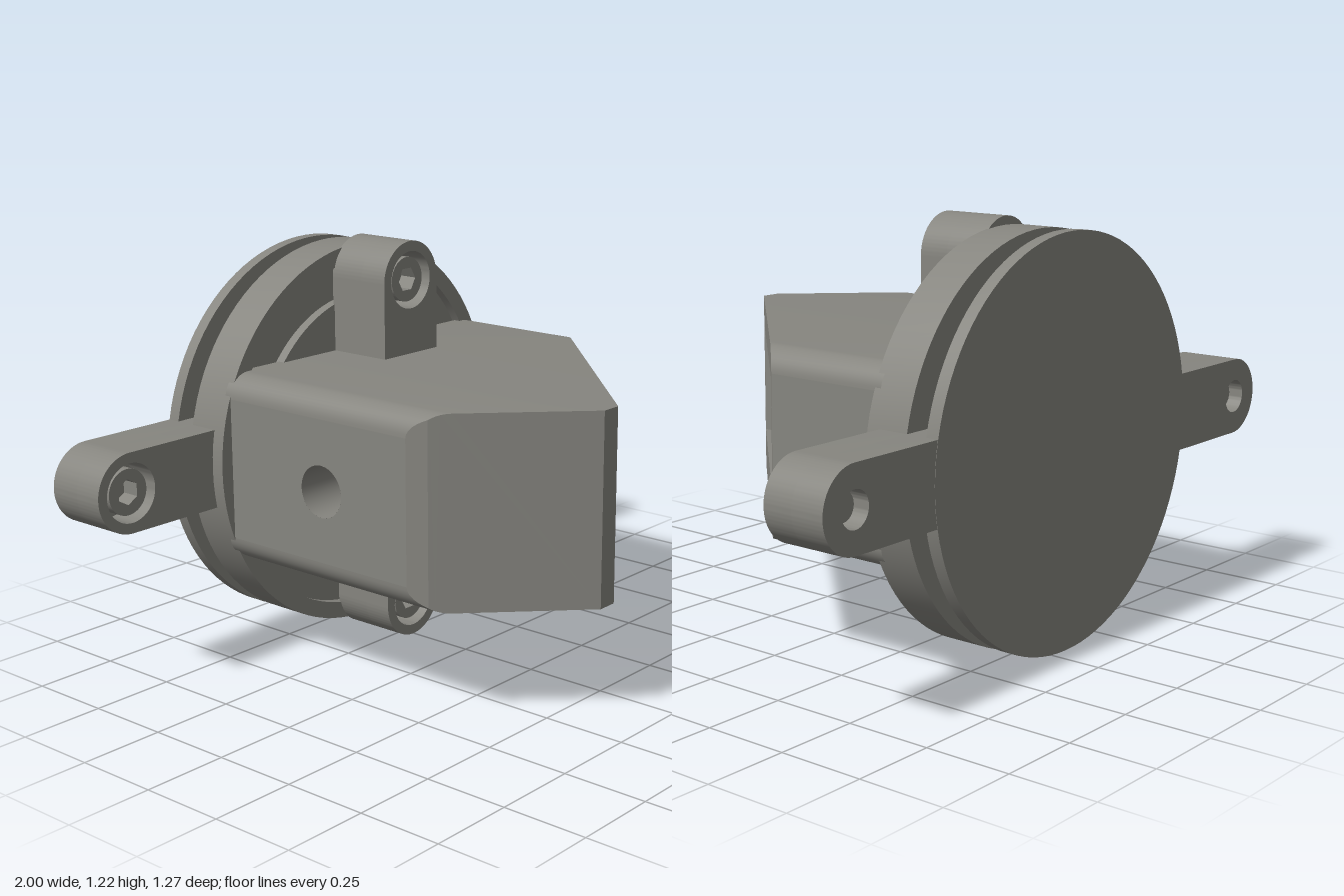
import * as THREE from 'three';
import { toCreasedNormals } from 'three/addons/utils/BufferGeometryUtils.js';

const grey = new THREE.MeshStandardMaterial({ color: 0x86857f, side: THREE.DoubleSide });
grey.name = 'warm grey';

const V2 = (p) => new THREE.Vector2(p[0], p[1]);

function add(parent, name, geometry) {
  const mesh = new THREE.Mesh(toCreasedNormals(geometry, 0.6), grey);
  mesh.name = name;
  parent.add(mesh);
  return mesh;
}

// Flat panel drawn in (u, v), then placed in space by a rule
function panel(points, place, hole) {
  const shape = new THREE.Shape(points.map(V2));
  if (hole) shape.holes.push(hole);
  const g = new THREE.ShapeGeometry(shape, 24);
  const p = g.attributes.position;
  for (let i = 0; i < p.count; i++) p.setXYZ(i, ...place(p.getX(i), p.getY(i)));
  g.computeVertexNormals();
  return g;
}

const rect = (u0, v0, u1, v1) => [[u0, v0], [u1, v0], [u1, v1], [u0, v1]];
const ellipse = (x, y, rx, ry) => new THREE.Path().absellipse(x, y, rx, ry, 0, Math.PI * 2, true);

// Turned part with its axis along z; profile points are (radius, z)
function turned(profile) {
  return new THREE.LatheGeometry(profile.map(V2), 96).rotateX(Math.PI / 2);
}

function extrude(shape, z0, z1) {
  return new THREE.ExtrudeGeometry(shape, { depth: z1 - z0, bevelEnabled: false, curveSegments: 32 }).translate(0, 0, z0);
}

// Body plan: sloped front cut into a rounded bar
const W = 0.545, H = 0.275, R = 0.07, BACK = -0.43;
const corners = [[-W, 0.25], [-0.52, 0.305], [-0.195, 0.635], [-0.135, 0.635], [W, -0.045]];
function frontZ(x) {
  for (let i = 0; i < 4; i++) {
    const [x0, z0] = corners[i], [x1, z1] = corners[i + 1];
    if (x <= x1 || i === 3) return z0 + (z1 - z0) * (x - x0) / (x1 - x0);
  }
}
function halfHeight(x) {
  const d = Math.min(Math.abs(x) - (W - R), R);
  return d > 0 ? H - R + Math.sqrt(R * R - d * d) : H;
}

function buildBody() {
  const body = new THREE.Group();
  body.name = 'body';
  let xs = corners.map((c) => c[0]);
  for (let i = 1; i <= 10; i++) {
    const x = W - R + R * Math.cos((i / 10) * Math.PI / 2);
    xs.push(x, -x);
  }
  xs.sort((a, b) => a - b);

  // Top and bottom skins, including the rounded edges
  for (const s of [1, -1]) {
    const pos = [], idx = [];
    xs.forEach((x, i) => {
      const y = s * halfHeight(x);
      pos.push(x, y, BACK, x, y, frontZ(x));
      const a = 2 * i;
      if (i < xs.length - 1) {
        if (s > 0) idx.push(a, a + 1, a + 3, a, a + 3, a + 2);
        else idx.push(a, a + 3, a + 1, a, a + 2, a + 3);
      }
    });
    const g = new THREE.BufferGeometry();
    g.setAttribute('position', new THREE.Float32BufferAttribute(pos, 3));
    g.setIndex(idx);
    g.computeVertexNormals();
    add(body, s > 0 ? 'bodyTop' : 'bodyBottom', g);
  }

  // Front facets; the long slope holds the window opening
  for (let i = 0; i < 4; i++) {
    const part = xs.filter((x) => x >= corners[i][0] - 1e-6 && x <= corners[i + 1][0] + 1e-6);
    const outline = [...part.map((x) => [x, -halfHeight(x)]), ...part.slice().reverse().map((x) => [x, halfHeight(x)])];
    const hole = i === 3 ? new THREE.Path(rect(-0.11, -0.15, 0.5, 0.185).map(V2)) : null;
    add(body, 'frontFacet', panel(outline, (x, y) => [x, y, frontZ(x)], hole));
  }

  // End faces, with the bore entry on the right
  const e = H - R;
  add(body, 'leftEnd', panel(rect(frontZ(W), -e, BACK, e), (u, v) => [W, v, u]));
  add(body, 'rightEnd', panel(rect(BACK, -e, 0.25, e), (u, v) => [-W, v, u], ellipse(-0.06, 0, 0.075, 0.075)));

  // Window pocket
  const plan = [[-0.11, 0.61], [-0.11, 0.25], [0.11, 0.03], [0.165, 0], [0.5, 0]];
  for (const y of [-0.15, 0.185]) add(body, 'pocketWall', panel(plan, (u, v) => [u, y, v]));
  for (let i = 0; i < 4; i++) {
    const [x0, z0] = plan[i], [x1, z1] = plan[i + 1];
    const place = (u, v) => [x0 + (x1 - x0) * u, v, z0 + (z1 - z0) * u];
    const hole = i === 1 ? ellipse(0.5, 0, 0.05 / 0.22, 0.07) : null;
    add(body, 'pocketWall', panel(rect(0, -0.15, 1, 0.185), place, hole));
  }

  // Bore: a run square to the pocket floor meeting a run from the right end
  const inner = add(body, 'innerBore', new THREE.CylinderGeometry(0.07, 0.07, 0.29, 32, 1, true).rotateZ(Math.PI / 2));
  inner.rotation.y = -Math.PI / 4;
  inner.position.set(-0.1025, 0, 0.0375);
  add(body, 'outerBore', new THREE.CylinderGeometry(0.075, 0.075, 0.345, 32, 1, true).rotateZ(Math.PI / 2).translate(-0.3725, 0, -0.06));
  return body;
}

// Rounded lug along +x with counterbored hole and socket screw
function buildLug(name, start, centre, z0, z1, tipZ) {
  const lug = new THREE.Group();
  lug.name = name;
  const r = 0.115, step = z1 - 0.09;
  const slab = (holeRadius) => {
    const s = new THREE.Shape();
    s.moveTo(start, -r);
    s.lineTo(centre, -r);
    s.absarc(centre, 0, r, -Math.PI / 2, Math.PI / 2, false);
    s.lineTo(start, r);
    s.closePath();
    s.holes.push(ellipse(centre, 0, holeRadius, holeRadius));
    return s;
  };
  add(lug, 'lugFront', extrude(slab(0.085), step, z1));
  add(lug, 'lugBack', extrude(slab(0.05), z0, step));

  const head = new THREE.Shape().absarc(centre, 0, 0.066, 0, Math.PI * 2, false);
  const hex = [];
  for (let i = 0; i < 6; i++) {
    const a = (i + 0.5) * Math.PI / 3;
    hex.push(new THREE.Vector2(centre + 0.037 * Math.cos(a), 0.037 * Math.sin(a)));
  }
  head.holes.push(new THREE.Path(hex));
  add(lug, 'screwHead', extrude(head, step, z1 - 0.015));
  const length = step + 0.02 - tipZ;
  add(lug, 'screwShank', new THREE.CylinderGeometry(0.04, 0.04, length, 24).rotateX(Math.PI / 2).translate(centre, 0, tipZ + length / 2));
  return lug;
}

export function createModel() {
  const model = new THREE.Group();
  model.name = 'clampedOpticHousing';
  const parts = new THREE.Group();
  parts.name = 'housing';
  parts.position.y = 0.61;
  model.add(parts);

  parts.add(buildBody());

  // Flange with a ring groove, hub and back plate
  add(parts, 'flange', turned([[0, -0.54], [0.585, -0.54], [0.585, -0.41], [0.535, -0.41],
    [0.535, -0.44], [0.43, -0.44], [0.43, -0.41], [0, -0.41]]));
  add(parts, 'hub', turned([[0.39, -0.61], [0.39, -0.53]]));
  add(parts, 'backPlate', turned([[0, -0.64], [0.585, -0.64], [0.585, -0.602], [0, -0.602]]));

  // Side lugs on the back plate, top and bottom lugs on the flange
  for (let i = 0; i < 4; i++) {
    const side = i % 2 === 0;
    const lug = side
      ? buildLug('sideLug', 0.4, 0.885, -0.639, -0.45, -0.6)
      : buildLug('flangeLug', 0.25, 0.495, -0.415, -0.21, -0.61);
    lug.rotation.z = i * Math.PI / 2;
    parts.add(lug);
  }
  return model;
}
